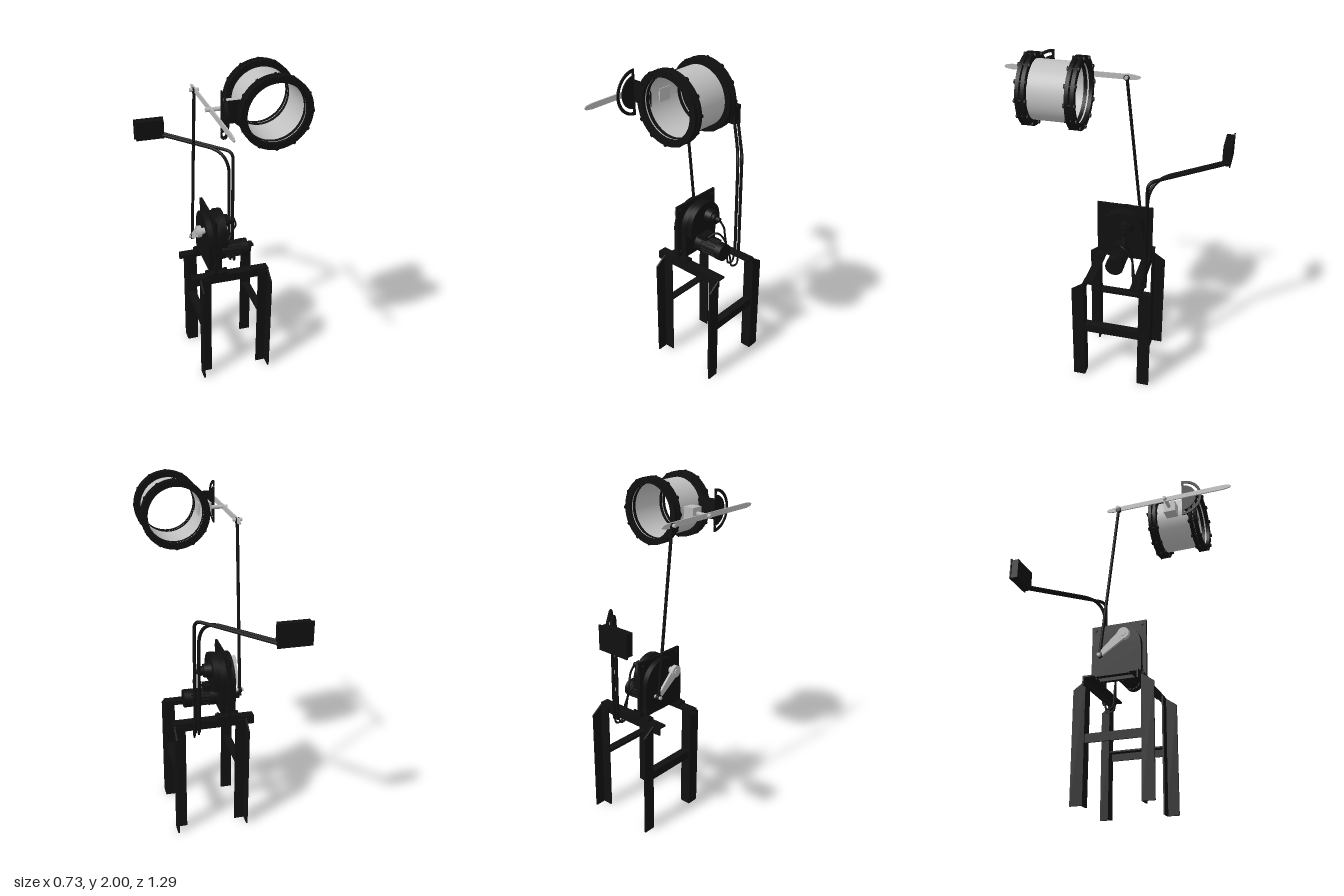
import * as THREE from 'three';

export function createModel() {
  const root = new THREE.Group();
  const mat = (name, color, side = THREE.FrontSide) => {
    const m = new THREE.MeshStandardMaterial({ color, side });
    m.name = name;
    return m;
  };
  const black = mat('black paint', 0x101010);
  const steel = mat('bare steel', 0xb8b8b8);
  const sheet = mat('duct sheet', 0xc0c0c0, THREE.DoubleSide);

  const add = (name, geo, m = black) => {
    const mesh = new THREE.Mesh(geo, m);
    mesh.name = name;
    root.add(mesh);
    return mesh;
  };
  // box given by its limits on each axis
  const box = (name, x0, x1, y0, y1, z0, z1, m) =>
    add(name, new THREE.BoxGeometry(x1 - x0, y1 - y0, z1 - z0)
      .translate((x0 + x1) / 2, (y0 + y1) / 2, (z0 + z1) / 2), m);
  // cylinder between two points
  const rod = (name, a, b, r, m, sides = 16, r2 = r) => {
    const p = new THREE.Vector3(...a), q = new THREE.Vector3(...b);
    const d = q.clone().sub(p);
    const mesh = add(name, new THREE.CylinderGeometry(r2, r, d.length(), sides), m);
    mesh.position.copy(p).add(q).multiplyScalar(0.5);
    mesh.quaternion.setFromUnitVectors(new THREE.Vector3(0, 1, 0), d.normalize());
    return mesh;
  };
  // outline drawn in (z, y), thickened along x
  const slab = (name, shape, x0, x1, m) =>
    add(name, new THREE.ExtrudeGeometry(shape, { depth: x1 - x0, bevelEnabled: false, curveSegments: 20 })
      .rotateY(-Math.PI / 2).translate(x1, 0, 0), m);
  const poly = (pts) => new THREE.Shape(pts.map(([a, b]) => new THREE.Vector2(a, b)));
  const vecs = (pts) => pts.map((p) => new THREE.Vector3(...p));
  const cable = (name, pts, r) =>
    add(name, new THREE.TubeGeometry(new THREE.CatmullRomCurve3(vecs(pts)), 40, r, 8));

  // Stand: angle-iron legs with sloped outer flanges
  const T = 0.009;
  for (const [zIn, s] of [[0.093, 1], [-0.233, -1]]) {
    const zOut = zIn + s * 0.072;
    for (const [xOut, t] of [[-0.155, 1], [0.272, -1]]) {
      const xs = [xOut, xOut + t * T].sort((a, b) => a - b);
      const xw = [xOut, xOut + t * 0.067].sort((a, b) => a - b);
      const zs = [zIn, zIn + s * T].sort((a, b) => a - b);
      slab('legOuterFlange', poly([[zIn, 0], [zOut, 0], [zOut, 0.64], [zIn, 0.69]]), xs[0], xs[1]);
      box('legInnerFlange', xw[0], xw[1], 0, 0.685, zs[0], zs[1]);
    }
    // top rail: horizontal and vertical flange
    const zr = [zIn, zIn - s * 0.053].sort((a, b) => a - b);
    const zv = [zIn, zIn - s * T].sort((a, b) => a - b);
    box('railTop', -0.2, 0.272, 0.69, 0.7, zr[0], zr[1]);
    box('railWeb', -0.2, 0.272, 0.65, 0.69, zv[0], zv[1]);
  }
  for (const [xOut, t] of [[-0.146, 1], [0.263, -1]]) {
    const xs = [xOut, xOut + t * T].sort((a, b) => a - b);
    const xw = [xOut, xOut + t * 0.048].sort((a, b) => a - b);
    box('braceWeb', xs[0], xs[1], 0.335, 0.385, -0.233, 0.093);
    box('braceTop', xw[0], xw[1], 0.376, 0.385, -0.233, 0.093);
  }

  // Drive unit: square plate, rounded housings, feet
  box('drivePlate', -0.06, -0.045, 0.71, 1.056, -0.24, 0.092);
  const arch = (r, y0, yc, zc) => {
    const s = new THREE.Shape();
    s.moveTo(zc - r, y0);
    s.lineTo(zc + r, y0);
    s.lineTo(zc + r, yc);
    s.absarc(zc, yc, r, 0, Math.PI, false);
    return s;
  };
  slab('outerHousing', arch(0.145, 0.73, 0.895, -0.075), -0.092, -0.06);
  slab('innerHousing', arch(0.135, 0.72, 0.9, -0.075), -0.045, -0.01);
  slab('gearCover', arch(0.125, 0.86, 0.92, -0.075), -0.01, 0.028);
  for (const [z0, z1] of [[0.04, 0.092], [-0.235, -0.185]]) {
    box('driveFoot', -0.11, 0.02, 0.7, 0.716, z0, z1);
    for (const x of [-0.1, 0.01])
      rod('footBolt', [x, 0.7, (z0 + z1) / 2], [x, 0.732, (z0 + z1) / 2], 0.009, black, 6);
  }
  for (const z of [-0.215, 0.068])
    for (const y of [0.75, 1.03])
      rod('plateBolt', [-0.068, y, z], [-0.038, y, z], 0.008, black, 6);

  // Gear hub with bolted cap
  rod('gearHub', [0.02, 0.955, -0.1], [0.07, 0.955, -0.1], 0.045, black, 24, 0.038);
  rod('hubCap', [0.07, 0.955, -0.1], [0.09, 0.955, -0.1], 0.028, black, 20);
  rod('cableGland', [0.09, 0.955, -0.1], [0.115, 0.952, -0.1], 0.014, black, 8);

  // Motor with ribs and terminal box
  const my = 0.772, mz = -0.067;
  rod('motor', [-0.01, my, mz], [0.175, my, mz], 0.047, black, 24);
  rod('motorFlange', [-0.01, my, mz], [0.035, my, mz], 0.054, black, 24);
  rod('motorFanCover', [0.14, my, mz], [0.182, my, mz], 0.053, black, 24);
  for (let i = 0; i < 16; i++) {
    const a = i * Math.PI / 8, y = my + 0.048 * Math.cos(a), z = mz + 0.048 * Math.sin(a);
    rod('motorRib', [0.035, y, z], [0.14, y, z], 0.004, black, 6);
  }
  box('terminalBox', 0.0, 0.065, 0.815, 0.852, -0.1, -0.035);
  cable('hubCable', [[0.115, 0.952, -0.1], [0.13, 0.9, -0.12], [0.115, 0.83, -0.15], [0.12, 0.7, -0.17],
    [0.12, 0.62, -0.18], [0.122, 0.61, -0.215], [0.125, 0.66, -0.235]], 0.006);
  cable('motorCable', [[0.06, 0.83, -0.05], [0.095, 0.86, -0.09], [0.105, 0.8, -0.15], [0.14, 0.68, -0.17],
    [0.145, 0.605, -0.185], [0.15, 0.6, -0.225], [0.152, 0.66, -0.24]], 0.006);

  // Crank arm and linkage rod
  rod('driveShaft', [-0.145, 0.955, -0.02], [-0.09, 0.955, -0.02], 0.018, steel);
  rod('crankBoss', [-0.14, 0.955, -0.02], [-0.115, 0.955, -0.02], 0.035, steel, 24);
  slab('crankArm', poly([[-0.035, 0.985], [0.0, 0.935], [-0.16, 0.828], [-0.178, 0.848]]), -0.136, -0.122, steel);
  rod('crankPin', [-0.15, 0.842, -0.163], [-0.105, 0.842, -0.163], 0.01, steel);
  rod('linkRod', [-0.13, 0.842, -0.163], [-0.13, 1.8, -0.057], 0.009, black, 12);
  for (const [y, z] of [[0.842, -0.163], [1.8, -0.057]])
    rod('rodEnd', [-0.139, y, z], [-0.121, y, z], 0.017, black, 16);
  rod('leverPin', [-0.155, 1.805, -0.057], [-0.105, 1.805, -0.057], 0.01, steel);

  // Damper lever and its shaft
  slab('damperLever', poly([[0.645, 1.805], [0.635, 1.815], [0.6, 1.82], [-0.09, 1.82], [-0.125, 1.814],
    [-0.135, 1.805], [-0.125, 1.796], [-0.09, 1.79], [0.6, 1.79], [0.635, 1.795]]), -0.131, -0.124, steel);
  rod('damperShaft', [-0.152, 1.805, 0.243], [-0.04, 1.805, 0.243], 0.011, steel);
  box('shaftBearing', -0.053, 0.022, 1.77, 1.84, 0.207, 0.28, steel);

  // Duct with bolted flange pairs
  const cx = 0.171, cy = 1.807;
  add('duct', new THREE.CylinderGeometry(0.157, 0.157, 0.3, 64, 1, true).rotateX(Math.PI / 2), sheet)
    .position.set(cx, cy, 0.246);
  const ring = new THREE.Shape().absarc(0, 0, 0.19, 0, Math.PI * 2, false);
  ring.holes.push(new THREE.Path().absarc(0, 0, 0.155, 0, Math.PI * 2, true));
  const flangeGeo = new THREE.ExtrudeGeometry(ring, { depth: 0.02, bevelEnabled: false, curveSegments: 48 });
  for (const z0 of [0.094, 0.349]) {
    for (const dz of [0, 0.029]) add('ductFlange', flangeGeo).position.set(cx, cy, z0 + dz);
    for (let i = 0; i < 12; i++) {
      const a = i * Math.PI / 6, x = cx + 0.181 * Math.cos(a), y = cy + 0.181 * Math.sin(a);
      rod('flangeBolt', [x, y, z0 - 0.004], [x, y, z0 + 0.053], 0.006, black, 8);
      for (const z of [z0 - 0.007, z0 + 0.049])
        rod('boltHead', [x, y, z], [x, y, z + 0.008], 0.012, black, 6);
    }
  }

  // Position quadrant: slotted half disc on a bracket
  box('quadrantBracket', -0.1, 0.02, 1.762, 1.878, 0.338, 0.344);
  const half = (r0, r1) => {
    const s = new THREE.Shape();
    s.absarc(0.338, 1.812, r1, -Math.PI / 2, Math.PI / 2, false);
    s.absarc(0.338, 1.812, r0, Math.PI / 2, -Math.PI / 2, true);
    return s;
  };
  slab('quadrantRim', half(0.106, 0.122), -0.101, -0.095);
  slab('quadrantPlate', half(0.001, 0.088), -0.101, -0.095);
  for (const y of [1.694, 1.902]) box('quadrantTie', -0.101, -0.095, y, y + 0.028, 0.338, 0.352);

  // Conduits rising from the rail and bending back to the control box
  const conduit = (x, z, xe, ze, r) => {
    const yTop = 1.328, d = new THREE.Vector2(xe - x, ze - z).normalize();
    const path = new THREE.CurvePath();
    const [a, b, k, c, e] = vecs([[x, 0.64, z], [x, yTop - r, z], [x, yTop, z],
      [x + d.x * r, yTop, z + d.y * r], [xe, yTop, ze]]);
    path.add(new THREE.LineCurve3(a, b));
    path.add(new THREE.QuadraticBezierCurve3(b, k, c));
    path.add(new THREE.LineCurve3(c, e));
    add('conduit', new THREE.TubeGeometry(path, 120, 0.0095, 10));
  };
  conduit(0.15, -0.243, -0.188, -0.632, 0.05);
  conduit(0.125, -0.24, -0.2, -0.61, 0.15);
  box('controlBox', -0.36, -0.186, 1.31, 1.43, -0.638, -0.597);
  box('controlBoxLid', -0.368, -0.18, 1.305, 1.436, -0.645, -0.638);
  return root;
}
